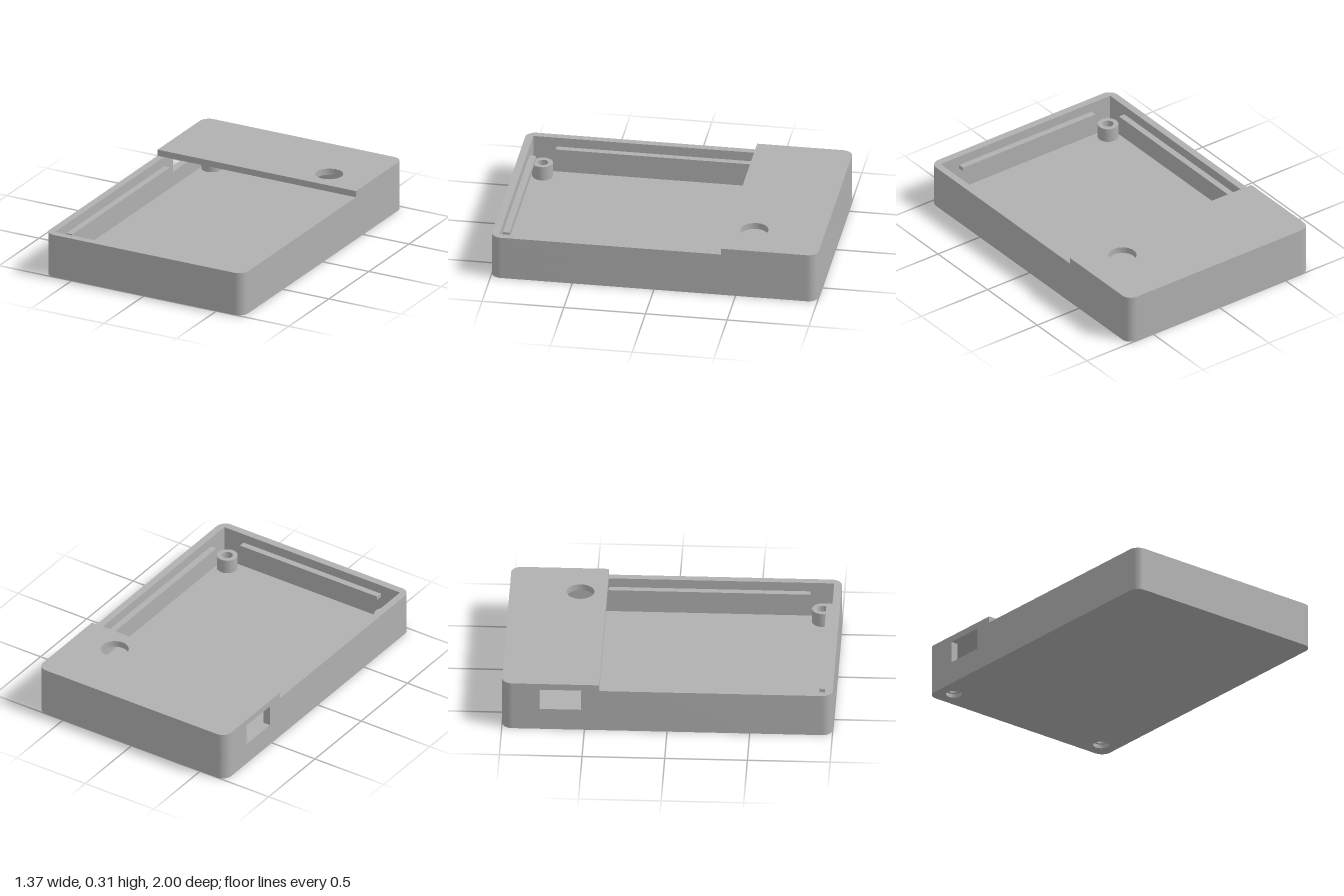
import * as THREE from 'three';
import { toCreasedNormals } from 'three/addons/utils/BufferGeometryUtils.js';

const W = 0.685, L = 1, R = 0.063;        // outer half width, half length, corner radius
const IW = 0.64, IL = 0.953;              // cavity half width and half length
const FLOOR = 0.045, RIM = 0.275, TOP = 0.315;
const STEP = -0.41;                       // front edge of the raised cover
const PORT = { back: -0.77, front: -0.52, bottom: 0.14 };

export function createModel() {
  const model = new THREE.Group();
  const grey = new THREE.MeshStandardMaterial({ color: 0xb0b0b0 });

  const add = (name, geometry, x = 0, y = 0, z = 0) => {
    const mesh = new THREE.Mesh(geometry, grey);
    mesh.name = name;
    mesh.position.set(x, y, z);
    model.add(mesh);
    return mesh;
  };

  // Plan outlines use (x, -z); extrusion goes up from y0 to y1
  const slab = (name, shape, y0, y1) => {
    const g = new THREE.ExtrudeGeometry(shape, { depth: y1 - y0, bevelEnabled: false, curveSegments: 12 });
    g.rotateX(-Math.PI / 2);
    return add(name, toCreasedNormals(g, 0.6), 0, y0, 0);
  };

  // Rounded outline, starting and ending on the -x side
  const traceOutline = (shape, start, end) => {
    shape.moveTo(-W, start);
    shape.lineTo(-W, L - R);
    shape.absarc(-W + R, L - R, R, Math.PI, Math.PI / 2, true);
    shape.absarc(W - R, L - R, R, Math.PI / 2, 0, true);
    shape.absarc(W - R, -L + R, R, 0, -Math.PI / 2, true);
    shape.absarc(-W + R, -L + R, R, -Math.PI / 2, -Math.PI, true);
    shape.lineTo(-W, end);
    return shape;
  };
  const circle = (x, y, r) => new THREE.Path().absarc(x, y, r, 0, Math.PI * 2, false);

  // Floor in two layers: wide screw head recesses below, narrow holes above
  const bossX = 0.573, bossZ = 0.885;
  for (const [name, r, y0, y1] of [['floorRecessLayer', 0.048, 0, 0.025], ['floor', 0.034, 0.025, FLOOR]]) {
    const s = traceOutline(new THREE.Shape(), 0, 0);
    for (const side of [-1, 1]) s.holes.push(circle(side * bossX, bossZ, r));
    slab(name, s, y0, y1);
  }

  // Lower walls: closed ring
  const ring = traceOutline(new THREE.Shape(), 0, 0);
  ring.holes.push(new THREE.Path([[-IW, -IL], [IW, -IL], [IW, IL], [-IW, IL]]
    .map(([x, y]) => new THREE.Vector2(x, y))));
  slab('lowerWalls', ring, FLOOR, PORT.bottom);

  // Upper walls: ring interrupted by the side port
  const upper = traceOutline(new THREE.Shape(), -PORT.back, -PORT.front);
  for (const [x, y] of [[-IW, -PORT.front], [-IW, -IL], [IW, -IL], [IW, IL], [-IW, IL], [-IW, -PORT.back]])
    upper.lineTo(x, y);
  upper.closePath();
  slab('upperWalls', upper, PORT.bottom, RIM);

  // Raised rear cover with a round opening
  const cover = new THREE.Shape();
  cover.moveTo(-W, -STEP);
  cover.lineTo(-W, L - R);
  cover.absarc(-W + R, L - R, R, Math.PI, Math.PI / 2, true);
  cover.absarc(W - R, L - R, R, Math.PI / 2, 0, true);
  cover.lineTo(W, -STEP);
  cover.closePath();
  cover.holes.push(circle(0.41, 0.572, 0.085));
  slab('rearCover', cover, RIM, TOP);

  // Ledge rails along the inner walls
  const railH = 0.025, railY = 0.203, railT = 0.04;
  for (const side of [-1, 1])
    add('sideRail', new THREE.BoxGeometry(railT, railH, 1.22), side * (IW - railT / 2), railY, 0.2);
  add('frontRail', new THREE.BoxGeometry(1, railH, railT), 0, railY, IL - railT / 2);

  // Hollow screw posts in the four corners
  const h = 0.135 - FLOOR;
  const profile = [[0.063, 0], [0.063, h], [0.034, h], [0.034, 0]].map(([x, y]) => new THREE.Vector2(x, y));
  const post = toCreasedNormals(new THREE.LatheGeometry(profile, 32), 0.6);
  for (const x of [-bossX, bossX])
    for (const z of [-bossZ, bossZ]) add('screwPost', post, x, FLOOR, z);

  return model;
}
